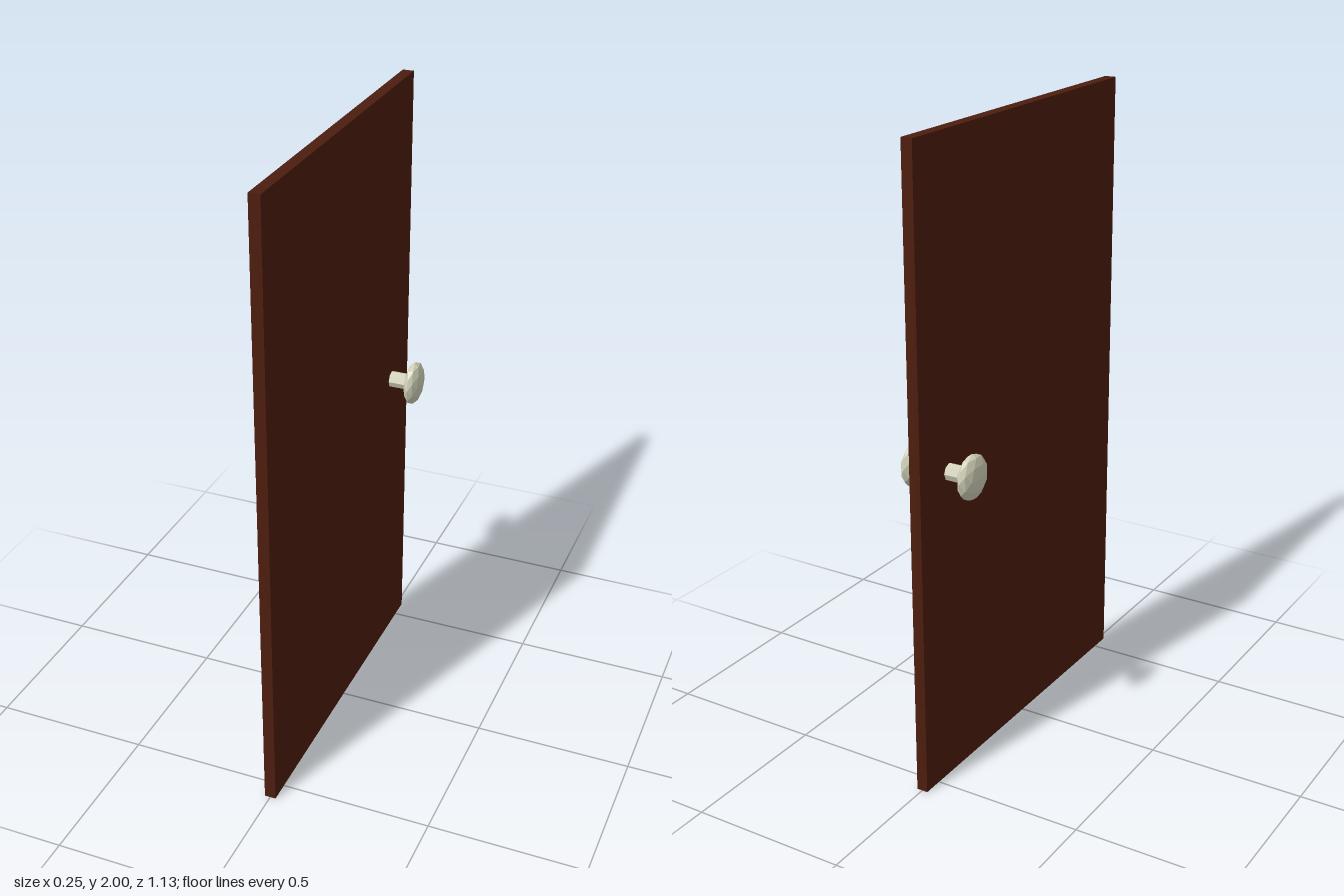
import * as THREE from 'three';

const wood = new THREE.MeshStandardMaterial({ color: 0x4c1d0e, flatShading: true });
const metal = new THREE.MeshStandardMaterial({ color: 0xd0d0b8, flatShading: true });

const KNOB_Y = 1.005;
const KNOB_Z = -0.415;

function addMesh(parent, name, geometry, material, x, y, z) {
  const mesh = new THREE.Mesh(geometry, material);
  mesh.name = name;
  mesh.position.set(x, y, z);
  parent.add(mesh);
  return mesh;
}

export function createModel() {
  const door = new THREE.Group();
  door.name = 'door';

  // Plain slab
  addMesh(door, 'doorPanel', new THREE.BoxGeometry(0.036, 2, 1.13), wood, 0, 1, 0);

  // Eight-sided spindle running through the slab
  const spindle = new THREE.CylinderGeometry(0.027, 0.027, 0.18, 8);
  spindle.rotateZ(Math.PI / 2);
  addMesh(door, 'knobSpindle', spindle, metal, 0, KNOB_Y, KNOB_Z);

  // Flattened faceted knob on each face
  for (const side of [1, -1]) {
    const knob = new THREE.IcosahedronGeometry(1, 1);
    knob.scale(0.027, 0.072, 0.072);
    addMesh(door, side > 0 ? 'leftKnob' : 'rightKnob', knob, metal, side * 0.097, KNOB_Y, KNOB_Z);
  }

  return door;
}
